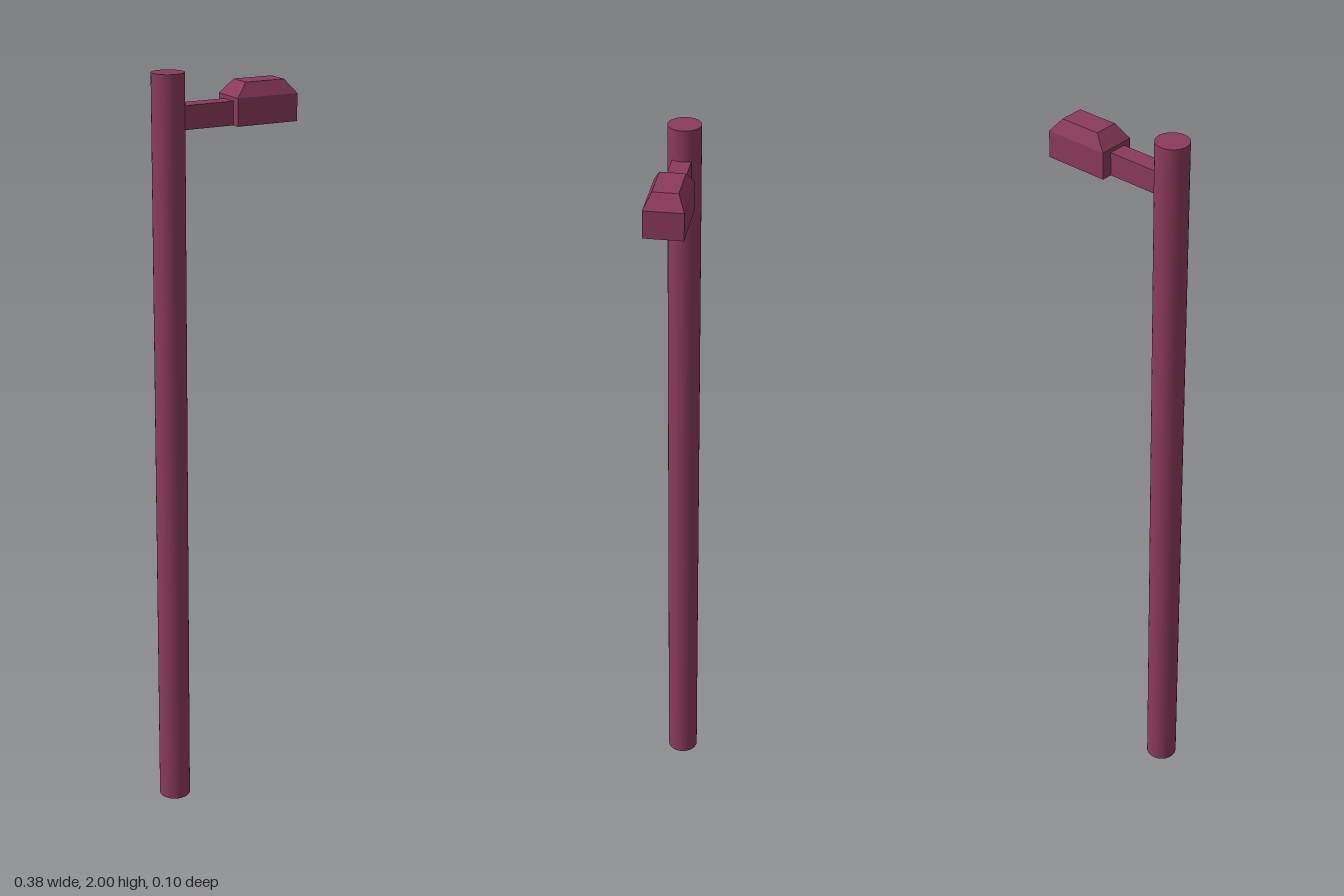
import * as THREE from 'three';

// Open-bottomed shell lofted through rectangular sections [y, x0, x1, z0, z1], closed by a flat top.
function lampShell(sections) {
  const rings = sections.map(([y, x0, x1, z0, z1]) => [
    [x0, y, z1], [x1, y, z1], [x1, y, z0], [x0, y, z0],
  ]);
  const pos = [];
  const quad = (a, b, c, d) => pos.push(...a, ...b, ...c, ...a, ...c, ...d);
  for (let r = 0; r < rings.length - 1; r++) {
    for (let i = 0; i < 4; i++) {
      const j = (i + 1) % 4;
      quad(rings[r][i], rings[r][j], rings[r + 1][j], rings[r + 1][i]);
    }
  }
  quad(...rings[rings.length - 1]);
  const g = new THREE.BufferGeometry();
  g.setAttribute('position', new THREE.Float32BufferAttribute(pos, 3));
  g.computeVertexNormals();
  return g;
}

export function createModel() {
  const group = new THREE.Group();
  group.name = 'streetLamp';
  const paint = new THREE.MeshStandardMaterial({ color: 0x8b3a5c });
  const shellPaint = new THREE.MeshStandardMaterial({ color: 0x8b3a5c, side: THREE.DoubleSide });

  const add = (name, geometry, material, x = 0, y = 0, z = 0) => {
    const mesh = new THREE.Mesh(geometry, material);
    mesh.name = name;
    mesh.position.set(x, y, z);
    group.add(mesh);
  };

  // Round upright post
  add('pole', new THREE.CylinderGeometry(0.042, 0.042, 2, 32), paint, -0.148, 1, 0);

  // Square arm, let into the pole and meeting the lamp head
  add('arm', new THREE.BoxGeometry(0.15, 0.06, 0.048), paint, -0.055, 1.89, 0.002);

  // Hollow lamp head: straight skirt, sloped hood, flat top
  add('lampHead', lampShell([
    [1.86, 0.02, 0.19, -0.05, 0.048],
    [1.93, 0.02, 0.19, -0.05, 0.048],
    [1.965, 0.052, 0.161, -0.033, 0.03],
  ]), shellPaint);

  return group;
}
